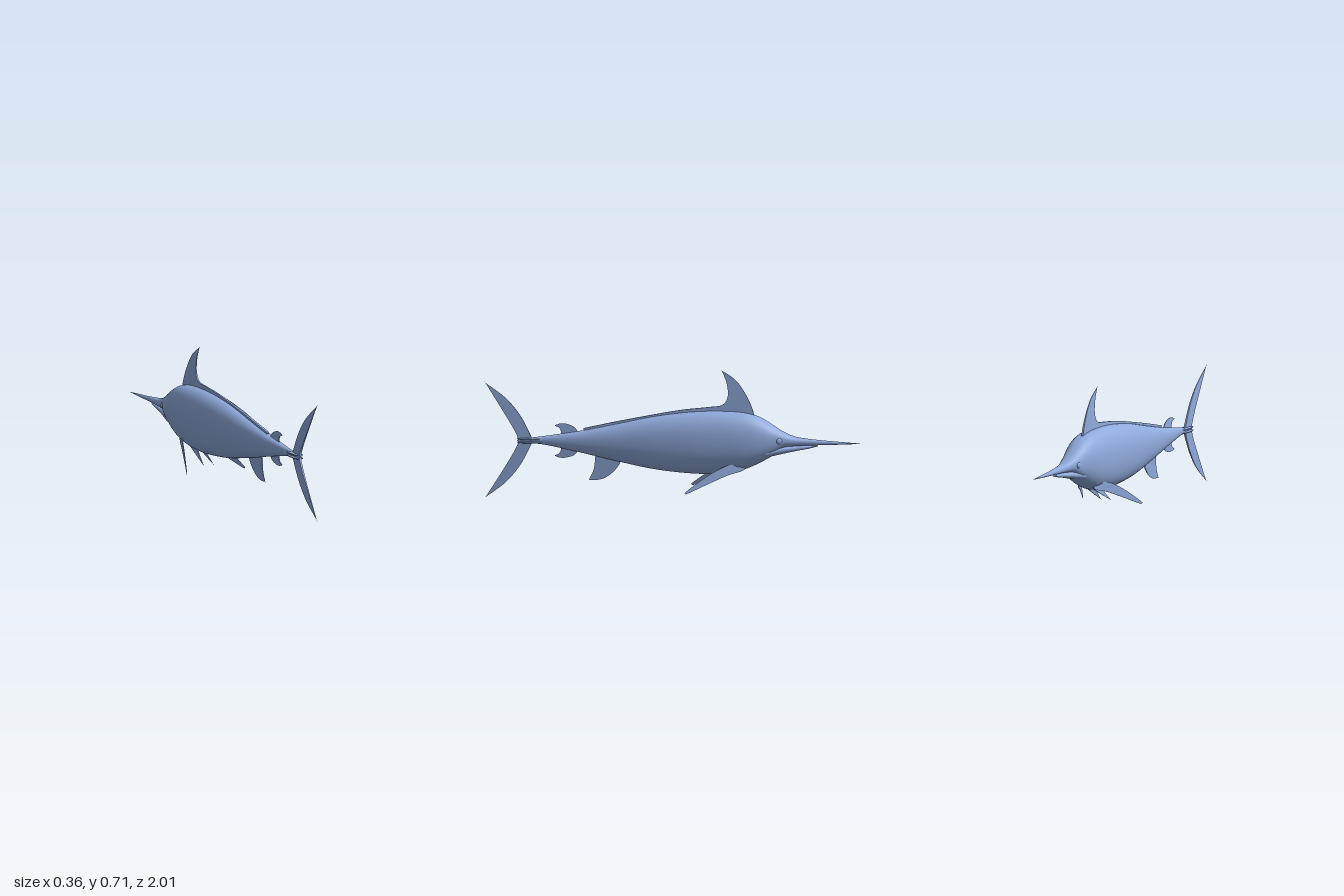
import * as THREE from 'three';

const blue = new THREE.MeshStandardMaterial({ color: 0x8faadc });
blue.name = 'steelBlue';

// Smooth loft along z from stations [z, top, bottom, halfWidth]
function loft(stations, rings, power = 2.25, segs = 48) {
  const channel = k => new THREE.SplineCurve(stations.map(s => new THREE.Vector2(s[0], s[k])));
  const [top, bottom, width] = [1, 2, 3].map(channel);
  const pos = [], index = [];
  const bulge = v => Math.sign(v) * Math.pow(Math.abs(v), 2 / power);
  for (let i = 0; i <= rings; i++) {
    const t = i / rings, p = top.getPoint(t), b = bottom.getPoint(t).y, w = width.getPoint(t).y;
    for (let j = 0; j < segs; j++) {
      const a = j / segs * Math.PI * 2;
      pos.push(w * bulge(Math.cos(a)), (p.y + b) / 2 + (p.y - b) / 2 * bulge(Math.sin(a)), p.x);
      if (i < rings) {
        const k = i * segs + j, n = i * segs + (j + 1) % segs;
        index.push(k, n, k + segs, n, n + segs, k + segs);
      }
    }
  }
  const g = new THREE.BufferGeometry();
  g.setAttribute('position', new THREE.Float32BufferAttribute(pos, 3));
  g.setIndex(index);
  g.computeVertexNormals();
  return g;
}

// Thin fin in the z-y plane; each edge is a smooth run of [z, y] points, joined at corners.
// It thins away from baseY over the span, and shift(z, y) moves it sideways.
function fin(edges, baseY, span, thick, shift = () => 0) {
  const shape = new THREE.Shape();
  shape.moveTo(...edges[0][0]);
  edges.forEach((e, i) => {
    const pts = e.slice(i ? 0 : 1).map(p => new THREE.Vector2(...p));
    if (pts.length > 1) shape.splineThru(pts);
    else shape.lineTo(pts[0].x, pts[0].y);
  });
  const g = new THREE.ExtrudeGeometry(shape, { depth: 1, bevelEnabled: false, curveSegments: 10 });
  g.translate(0, 0, -0.5);
  g.rotateY(-Math.PI / 2);
  const p = g.attributes.position;
  for (let i = 0; i < p.count; i++) {
    const y = p.getY(i), z = p.getZ(i);
    const t = thick * Math.max(0.15, 1 - Math.abs(y - baseY) / span);
    p.setX(i, p.getX(i) * t + shift(z, y));
  }
  g.computeVertexNormals();
  return g;
}

export function createModel() {
  const model = new THREE.Group();
  model.name = 'billfish';
  const add = (name, geo) => {
    const m = new THREE.Mesh(geo, blue);
    m.name = name;
    model.add(m);
    return m;
  };

  // Body, head and long bill
  add('body', loft([
    [-1, 0.319, 0.317, 0.001], [-0.9, 0.326, 0.312, 0.008], [-0.8, 0.333, 0.308, 0.014],
    [-0.7, 0.343, 0.304, 0.024], [-0.64, 0.355, 0.3, 0.035], [-0.59, 0.377, 0.29, 0.048],
    [-0.54, 0.408, 0.252, 0.062], [-0.49, 0.44, 0.222, 0.076], [-0.43, 0.466, 0.192, 0.089],
    [-0.35, 0.48, 0.164, 0.098], [-0.22, 0.483, 0.147, 0.1], [-0.08, 0.475, 0.149, 0.097],
    [0.1, 0.45, 0.168, 0.085], [0.3, 0.407, 0.208, 0.063], [0.47, 0.371, 0.246, 0.043],
    [0.6, 0.349, 0.274, 0.028], [0.7, 0.334, 0.292, 0.017], [0.79, 0.322, 0.3, 0.012],
    [0.83, 0.313, 0.309, 0.001]], 110));

  // Lower jaw
  add('lowerJaw', loft([
    [-0.775, 0.304, 0.301, 0.002], [-0.73, 0.304, 0.289, 0.012], [-0.65, 0.302, 0.273, 0.025],
    [-0.57, 0.3, 0.255, 0.044], [-0.5, 0.29, 0.238, 0.06]], 24));

  // First dorsal fin with its long low ridge
  add('dorsalFin', fin([
    [[-0.44, 0.45], [-0.405, 0.545], [-0.34, 0.645], [-0.262, 0.7]],
    [[-0.262, 0.7], [-0.288, 0.63], [-0.293, 0.56], [-0.262, 0.515], [-0.18, 0.502], [-0.02, 0.482],
      [0.25, 0.43], [0.475, 0.381]],
    [[0.475, 0.372], [0.45, 0.36]],
    [[0.25, 0.4], [-0.02, 0.455], [-0.25, 0.465], [-0.44, 0.44]]], 0.4, 0.32, 0.014));

  // Small rear fins above and below
  add('secondDorsalFin', fin([
    [[0.5, 0.35], [0.525, 0.385], [0.57, 0.404], [0.605, 0.403], [0.632, 0.393]],
    [[0.632, 0.393], [0.603, 0.378], [0.592, 0.34]]], 0.34, 0.08, 0.008));
  add('secondAnalFin', fin([
    [[0.5, 0.27], [0.525, 0.237], [0.57, 0.222], [0.605, 0.222], [0.632, 0.232]],
    [[0.632, 0.232], [0.603, 0.248], [0.592, 0.285]]], 0.28, 0.08, 0.008));

  // Anal fin
  add('analFin', fin([
    [[0.27, 0.22], [0.3, 0.168], [0.35, 0.123], [0.4, 0.105], [0.447, 0.105]],
    [[0.447, 0.105], [0.421, 0.165], [0.412, 0.245]],
    [[0.412, 0.26], [0.27, 0.24]]], 0.24, 0.15, 0.009));

  // Crescent tail
  add('tailFin', fin([
    [[0.745, 0.31], [0.81, 0.438], [0.89, 0.535], [1, 0.617]],
    [[1, 0.617], [0.905, 0.465], [0.845, 0.365], [0.825, 0.31], [0.845, 0.255], [0.905, 0.153], [1, 0.003]],
    [[1, 0.003], [0.89, 0.087], [0.81, 0.185], [0.745, 0.31]]], 0.31, 0.33, 0.012));

  for (const [side, s] of [['left', 1], ['right', -1]]) {
    // Pectoral fin, swept back and outward
    add(side + 'PectoralFin', fin([
      [[-0.39, 0.195], [-0.35, 0.207], [-0.3, 0.203], [-0.22, 0.165], [-0.14, 0.112], [-0.08, 0.066]],
      [[-0.08, 0.066], [-0.085, 0.06], [-0.1, 0.063], [-0.2, 0.107], [-0.3, 0.149], [-0.38, 0.172], [-0.39, 0.195]]],
    0.2, 0.16, 0.006, z => s * (0.1 + 0.43 * (z + 0.26))));

    // Narrow pelvic fin
    add(side + 'PelvicFin', fin([
      [[-0.34, 0.175], [-0.26, 0.16], [-0.21, 0.12], [-0.16, 0.08]],
      [[-0.16, 0.08], [-0.23, 0.112], [-0.34, 0.165]]],
    0.17, 0.1, 0.008, (z, y) => s * (0.03 - (y - 0.08) * 0.14)));

    // Paired keels at the tail root
    for (const v of [1, -1]) {
      const keel = add(side + (v > 0 ? 'Upper' : 'Lower') + 'Keel', new THREE.SphereGeometry(1, 20, 12));
      keel.scale.set(0.01, 0.006, 0.065);
      keel.position.set(s * 0.013, 0.311 + v * 0.009, 0.765);
    }

    // Eye
    const eye = add(side + 'Eye', new THREE.SphereGeometry(1, 24, 16));
    eye.scale.set(0.008, 0.016, 0.016);
    eye.position.set(s * 0.05, 0.332, -0.572);
    eye.rotation.y = s * 0.28;
  }
  return model;
}
